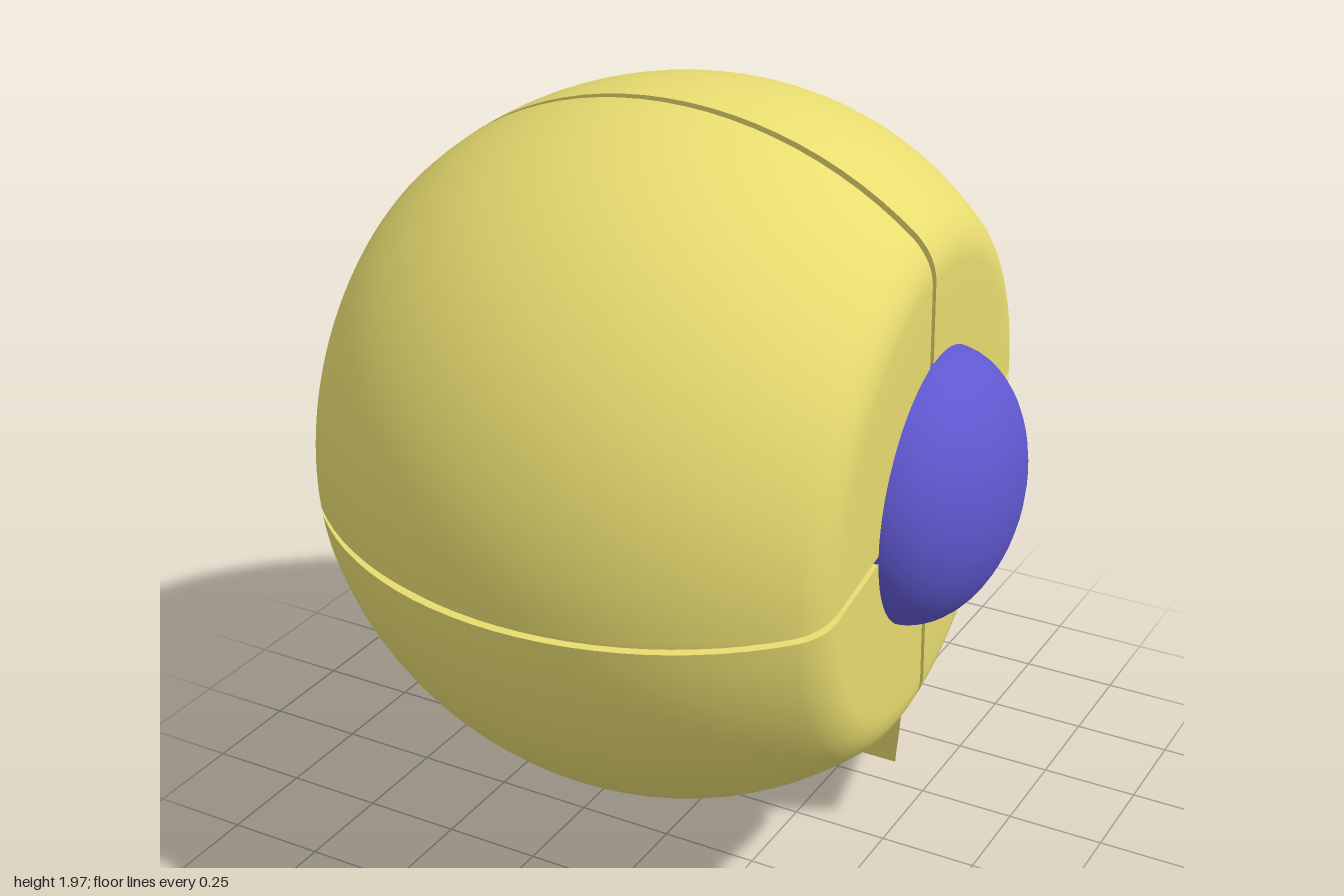
import * as THREE from 'three';
import { toCreasedNormals } from 'three/addons/utils/BufferGeometryUtils.js';
import { ConvexGeometry } from 'three/addons/geometries/ConvexGeometry.js';

const R = 0.877, FLAT = 0.635, CY = 1.09, CZ = 0.122, TILT = 0.114;

const paint = (color) => new THREE.MeshStandardMaterial({ color });
const skin = paint(0xe8dc70), blue = paint(0x6058d0), green = paint(0x86d486), pink = paint(0xe09aa8);

function add(group, name, geometry, material, x = 0, y = 0, z = 0) {
  const mesh = new THREE.Mesh(geometry, material);
  mesh.name = name;
  mesh.position.set(x, y, z);
  group.add(mesh);
  return mesh;
}

// Profile around the x axis: flat side, rounded rim, spherical band, mirrored
function skullProfile() {
  const rim = 0.65;
  const half = [new THREE.Vector2(0, FLAT), new THREE.Vector2(0.25, FLAT), new THREE.Vector2(0.4, FLAT)];
  const end = new THREE.Vector2(rim, Math.sqrt(R * R - rim * rim));
  half.push(...new THREE.QuadraticBezierCurve(
    new THREE.Vector2(0.54, FLAT), new THREE.Vector2(0.603, FLAT), end).getPoints(8));
  const start = Math.asin(end.y / R);
  for (let i = 1; i <= 12; i++) {
    const a = start * (1 - i / 12);
    half.push(new THREE.Vector2(R * Math.cos(a), R * Math.sin(a)));
  }
  const lower = half.slice(0, -1).map((p) => new THREE.Vector2(p.x, -p.y));
  return lower.concat(half.reverse());
}

// Lathe section laid on the x axis; the skull widens to the back and top
function skullSection(profile, segments, sweep, place) {
  const geo = new THREE.LatheGeometry(profile, segments, 0, sweep);
  const pos = geo.attributes.position;
  for (let n = 0; n < pos.count; n++) {
    const p = profile[n % profile.length];
    const { angle, scale } = place(Math.floor(n / profile.length), p.x);
    const y = p.x * scale * Math.cos(angle), z = p.x * scale * Math.sin(angle);
    pos.setXYZ(n, p.y * scale * (1 + 0.1 * z + 0.05 * y), y, z);
  }
  return toCreasedNormals(geo, 0.6);
}

// Face shell lofted from chin to brow, following the slanted jaw and brow lines
function faceGeometry() {
  // Per level, [x, z] of: front centre, front middle, cheek ridge, cheek, jaw back
  const levels = [
    [[0, -0.78], [0.1, -0.78], [0.18, -0.765], [0.34, -0.41], [0.5, -0.06]],
    [[0, -0.78], [0.13, -0.775], [0.25, -0.73], [0.41, -0.36], [0.54, 0.015]],
    [[0, -0.775], [0.2, -0.755], [0.36, -0.655], [0.45, -0.33], [0.5, 0]],
    [[0, -0.765], [0.26, -0.725], [0.48, -0.585], [0.5, -0.3], [0.45, 0]],
    [[0, -0.757], [0.3, -0.695], [0.55, -0.51], [0.5, -0.25], [0.45, 0]],
  ];
  const columns = levels[0].map((_, c) => new THREE.CatmullRomCurve3(
    levels.map((l) => new THREE.Vector3(l[c][0], 0, l[c][1]))));
  const rows = 24, pos = [], index = [];
  let ring = 0;
  const push = (x, z, t) => {
    const low = 0.217 + 0.29 * z, high = CY - TILT * (z - CZ) - 0.014;
    pos.push(x, Math.max(0, low + (high - low) * t), z);
  };
  for (let i = 0; i <= rows; i++) {
    const t = i / rows;
    const [c, m, r, k, b] = columns.map((curve) => curve.getPoint(t));
    const flip = (v) => new THREE.Vector3(-v.x, 0, v.z);
    const front = new THREE.CatmullRomCurve3([flip(r), flip(m), c, m, r]).getPoints(16);
    const loop = [flip(b), flip(k), ...front, k, b];
    ring = loop.length;
    loop.forEach((p) => push(p.x, p.z, t));
  }
  for (let i = 0; i < rows; i++) {
    for (let j = 0; j < ring; j++) {
      const a = i * ring + j, d = i * ring + (j + 1) % ring;
      index.push(a, a + ring, d, d, a + ring, d + ring);
    }
  }
  // Underside and top
  push(0, -0.4, 0);
  push(0, -0.4, 1);
  const under = (rows + 1) * ring, top = rows * ring;
  for (let j = 0; j < ring; j++) {
    const n = (j + 1) % ring;
    index.push(under, j, n, under + 1, top + n, top + j);
  }
  const geo = new THREE.BufferGeometry();
  geo.setAttribute('position', new THREE.Float32BufferAttribute(pos, 3));
  geo.setIndex(index);
  return toCreasedNormals(geo, 0.5);
}

export function createModel() {
  const model = new THREE.Group();
  model.name = 'head';
  const profile = skullProfile();

  // Core that forms the floor of the seams
  add(model, 'skullCore', skullSection(profile, 96, Math.PI * 2,
    (i) => ({ angle: (i / 96) * Math.PI * 2, scale: 0.978 })), skin, 0, CY, CZ);

  // Four skull quarters, parted by narrow seams; end rows fold inward as walls
  const N = 34;
  const names = ['skullUpperBack', 'skullLowerBack', 'skullLowerFront', 'skullUpperFront'];
  names.forEach((name, q) => {
    const geo = skullSection(profile, N, Math.PI / 2, (i, r) => {
      const gap = 0.011 / Math.max(r, 0.1);
      const f = THREE.MathUtils.clamp((i - 1) / (N - 2), 0, 1);
      return {
        angle: TILT + q * Math.PI / 2 + gap + f * (Math.PI / 2 - 2 * gap),
        scale: i === 0 || i === N ? 0.97 : 1,
      };
    });
    add(model, name, geo, skin, 0, CY, CZ);
  });

  add(model, 'face', faceGeometry(), skin);

  // Wedge nose
  const nose = [];
  for (const s of [-1, 1]) {
    nose.push(new THREE.Vector3(s * 0.04, 1.04, -0.75), new THREE.Vector3(s * 0.04, 0.63, -1),
      new THREE.Vector3(s * 0.12, 0.57, -0.74));
  }
  add(model, 'nose', new ConvexGeometry(nose), skin);

  // Mouth bar
  const mouth = add(model, 'mouth', new THREE.CylinderGeometry(0.033, 0.033, 0.3, 16), pink, 0, 0.355, -0.782);
  mouth.rotation.z = Math.PI / 2;

  // Eyes and ear domes on both sides
  for (const [side, s] of [['left', -1], ['right', 1]]) {
    add(model, side + 'Eye', new THREE.SphereGeometry(0.1, 32, 20), green, s * 0.282, 1.06, -0.7);
    const ear = add(model, side + 'Ear', new THREE.SphereGeometry(0.335, 48, 32), blue, s * 0.62, 1.095, 0.1);
    ear.scale.x = 0.645;
  }
  return model;
}
